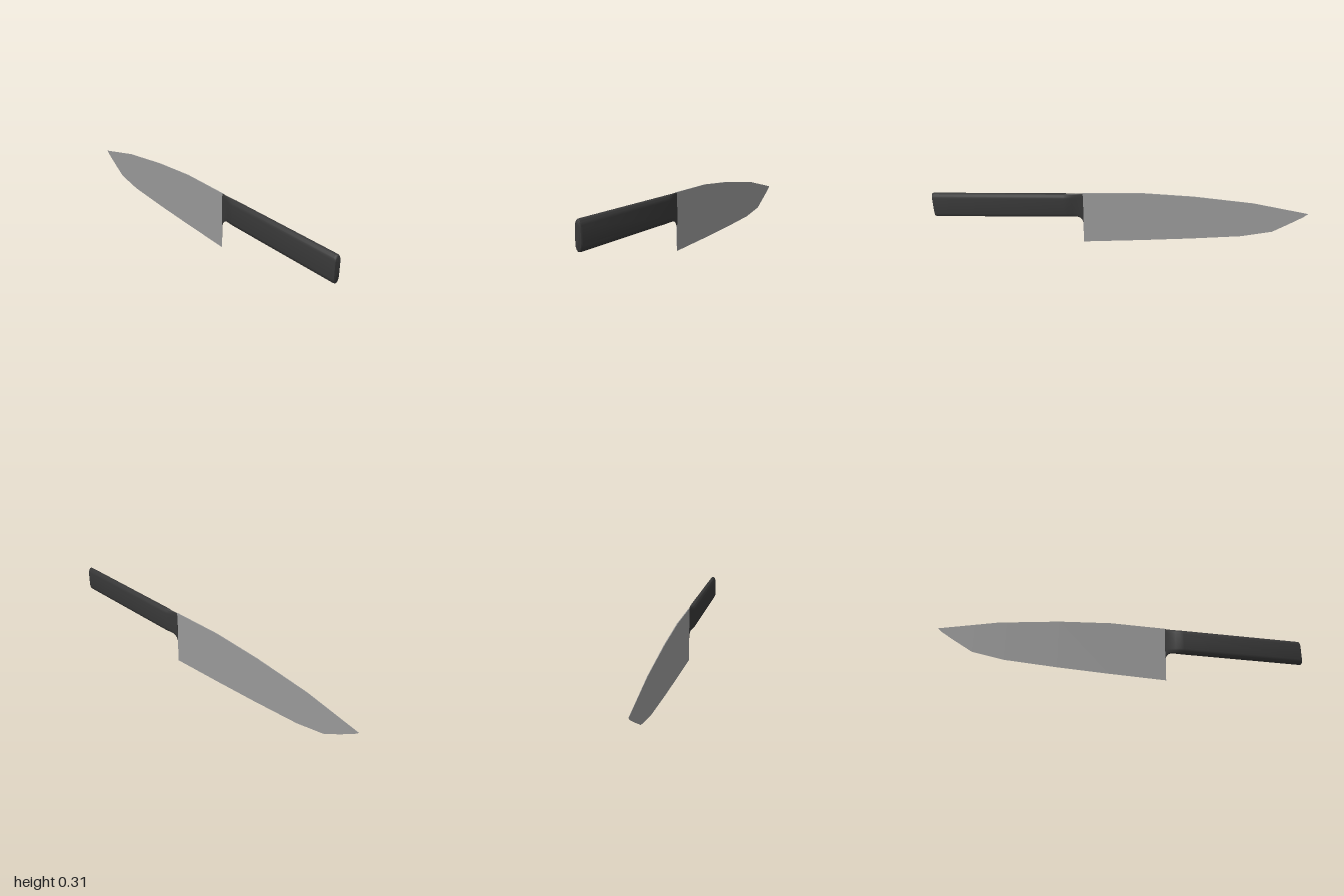
import * as THREE from 'three';
import { toCreasedNormals } from 'three/addons/utils/BufferGeometryUtils.js';

// Joins rings of [x, y, z] points (counter-clockwise seen from +z), ordered from +z to -z, and caps both ends
function loft(rings) {
  const n = rings[0].length;
  const positions = rings.flat(2);
  const index = [];
  for (let i = 0; i < rings.length - 1; i++) {
    for (let j = 0; j < n; j++) {
      const a = i * n + j, b = i * n + (j + 1) % n;
      index.push(a, a + n, b, b, a + n, b + n);
    }
  }
  const last = (rings.length - 1) * n;
  for (let j = 1; j < n - 1; j++) {
    index.push(0, j, j + 1, last, last + j + 1, last + j);
  }
  const geometry = new THREE.BufferGeometry();
  geometry.setAttribute('position', new THREE.Float32BufferAttribute(positions, 3));
  geometry.setIndex(index);
  return geometry;
}

// Tall rounded handle section with straight sides and elliptical ends
function handleRing(z, halfWidth, bottom, top) {
  const ring = [], segments = 14, round = 0.035;
  for (let side = 0; side < 2; side++) {
    for (let k = 0; k <= segments; k++) {
      const angle = Math.PI * (side + k / segments);
      const centre = side === 0 ? top - round : bottom + round;
      ring.push([halfWidth * Math.cos(angle), centre + round * Math.sin(angle), z]);
    }
  }
  return ring;
}

// Height of a polyline of [z, y] points at a given z (z descending)
function heightAt(line, z) {
  for (let i = 0; i < line.length - 1; i++) {
    const [z0, y0] = line[i], [z1, y1] = line[i + 1];
    if (z <= z0 && z >= z1) return y0 + (y1 - y0) * (z0 - z) / (z0 - z1);
  }
  return line[line.length - 1][1];
}

export function createModel() {
  const steel = new THREE.MeshStandardMaterial({ color: 0x9a9a9a });
  steel.name = 'steel';
  const black = new THREE.MeshStandardMaterial({ color: 0x383838 });
  black.name = 'black handle';

  const knife = new THREE.Group();
  knife.name = 'kitchenKnife';

  // Handle with a bevelled butt, tapering into the bolster that runs down onto the heel
  const sections = [
    [1.0, 0.015, 0.168, 0.301],
    [0.997, 0.0175, 0.165, 0.304],
    [0.99, 0.019, 0.163, 0.306],
    [0.305, 0.019, 0.163, 0.306],
    [0.285, 0.0165, 0.163, 0.306],
    [0.262, 0.0105, 0.163, 0.306],
    [0.24, 0.0055, 0.163, 0.306],
    [0.222, 0.004, 0.157, 0.307],
    [0.212, 0.0032, 0.145, 0.307],
    [0.203, 0.0028, 0.125, 0.308],
  ];
  const handle = new THREE.Mesh(
    toCreasedNormals(loft(sections.map((s) => handleRing(...s))), Math.PI / 4), black);
  handle.name = 'handle';
  knife.add(handle);

  // Blade: a thin wedge, thick along the spine and sharp along the edge
  const spine = [[0.205, 0.308], [-0.1, 0.31], [-0.38, 0.29], [-0.7, 0.25], [-1, 0.185]];
  const edge = [[0.205, 0], [-0.11, 0.011], [-0.38, 0.023], [-0.655, 0.04],
    [-0.82, 0.07], [-0.905, 0.12], [-0.975, 0.163], [-1, 0.184]];
  const stations = [...new Set([...spine, ...edge].map((p) => p[0]))].sort((a, b) => b - a);
  const bladeRings = stations.map((z) => {
    const top = heightAt(spine, z), bottom = heightAt(edge, z);
    const w = 0.0006 + 0.0018 * Math.min(1, (z + 1) / 0.8);
    return [[w, top, z], [-w, top, z], [0, bottom, z]];
  });
  const bladeGeometry = loft(bladeRings).toNonIndexed();
  bladeGeometry.computeVertexNormals();
  const blade = new THREE.Mesh(bladeGeometry, steel);
  blade.name = 'blade';
  knife.add(blade);

  return knife;
}
